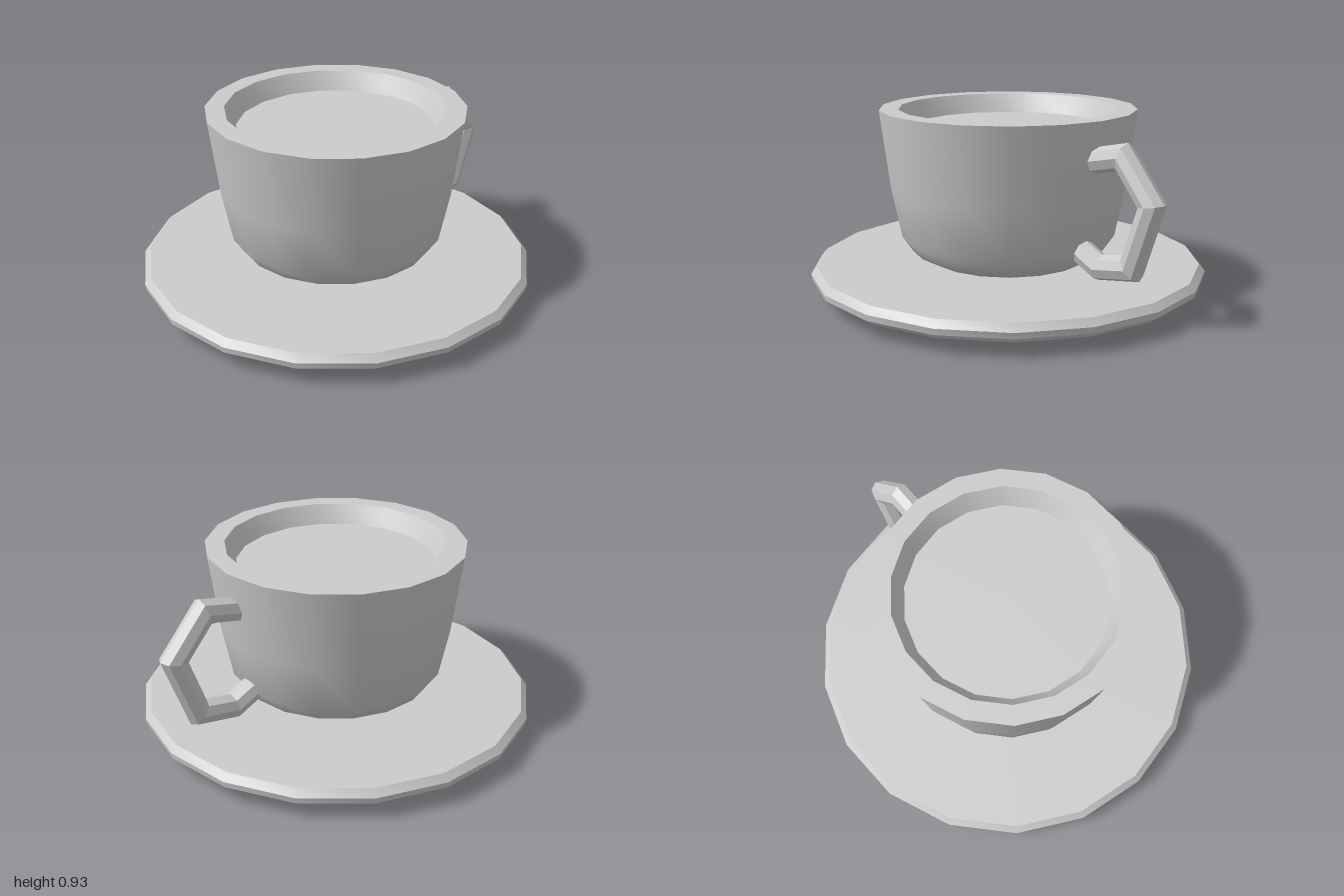
import * as THREE from 'three';
import { toCreasedNormals } from 'three/addons/utils/BufferGeometryUtils.js';

const SIDES = 18;
const CENTRE_X = -0.005;

// Turned part from [radius, y] pairs; corners fall on the x axis
function turned(name, profile, material) {
  const points = profile.map(([r, y]) => new THREE.Vector2(r, y));
  const lathe = new THREE.LatheGeometry(points, SIDES, Math.PI / 2);
  const mesh = new THREE.Mesh(toCreasedNormals(lathe, 0.6), material);
  mesh.name = name;
  mesh.position.x = CENTRE_X;
  return mesh;
}

// Mitred tube with an octagonal section along a path in the xy plane
function mitredTube(path, radius, sides) {
  const pts = path.map(([x, y]) => new THREE.Vector2(x, y));
  const last = pts.length - 1;
  const dir = (i) => pts[i + 1].clone().sub(pts[i]).normalize();
  const positions = [];
  const index = [];
  pts.forEach((p, i) => {
    const a = dir(Math.max(i - 1, 0));
    const b = dir(Math.min(i, last - 1));
    const t = a.clone().add(b).normalize();
    const stretch = radius / t.dot(a);
    for (let k = 0; k < sides; k++) {
      const angle = (k / sides) * Math.PI * 2;
      const out = Math.cos(angle) * stretch;
      positions.push(p.x - t.y * out, p.y + t.x * out, Math.sin(angle) * radius);
      if (i < last) {
        const k2 = (k + 1) % sides;
        const [q, r, s, u] = [i * sides + k, i * sides + k2, (i + 1) * sides + k, (i + 1) * sides + k2];
        index.push(q, r, s, r, u, s);
      }
    }
  });
  // End caps
  for (let k = 1; k < sides - 1; k++) {
    const e = last * sides;
    index.push(0, k + 1, k, e, e + k, e + k + 1);
  }
  const geometry = new THREE.BufferGeometry();
  geometry.setAttribute('position', new THREE.Float32BufferAttribute(positions, 3));
  geometry.setIndex(index);
  const flat = geometry.toNonIndexed();
  flat.computeVertexNormals();
  return flat;
}

export function createModel() {
  const group = new THREE.Group();
  group.name = 'cupAndSaucer';
  const grey = new THREE.MeshStandardMaterial({ color: 0xcccccc, side: THREE.DoubleSide });

  // Saucer: shallow sloping underside, rounded rim, flat top
  group.add(turned('saucer', [
    [0, 0], [0.745, 0], [0.955, 0.062], [0.99, 0.09], [0.995, 0.12], [0.965, 0.153], [0, 0.153],
  ], grey));

  // Cup: rounded foot, flaring wall, thick flat rim, inner wall
  group.add(turned('cup', [
    [0, 0.15], [0.3, 0.15], [0.405, 0.167], [0.49, 0.213], [0.54, 0.285],
    [0.59, 0.54], [0.638, 0.925], [0.543, 0.925], [0.487, 0.82],
  ], grey));

  // Drink filling the cup almost to the rim
  group.add(turned('drink', [[0.49, 0.83], [0, 0.83]], grey));

  // Handle: angular loop
  const handle = new THREE.Mesh(mitredTube([
    [0.56, 0.733], [0.765, 0.78], [0.935, 0.587], [0.828, 0.281], [0.637, 0.243], [0.48, 0.315],
  ], 0.06, 8), new THREE.MeshStandardMaterial({ color: 0xcccccc, flatShading: true, side: THREE.DoubleSide }));
  handle.name = 'handle';
  group.add(handle);

  return group;
}
